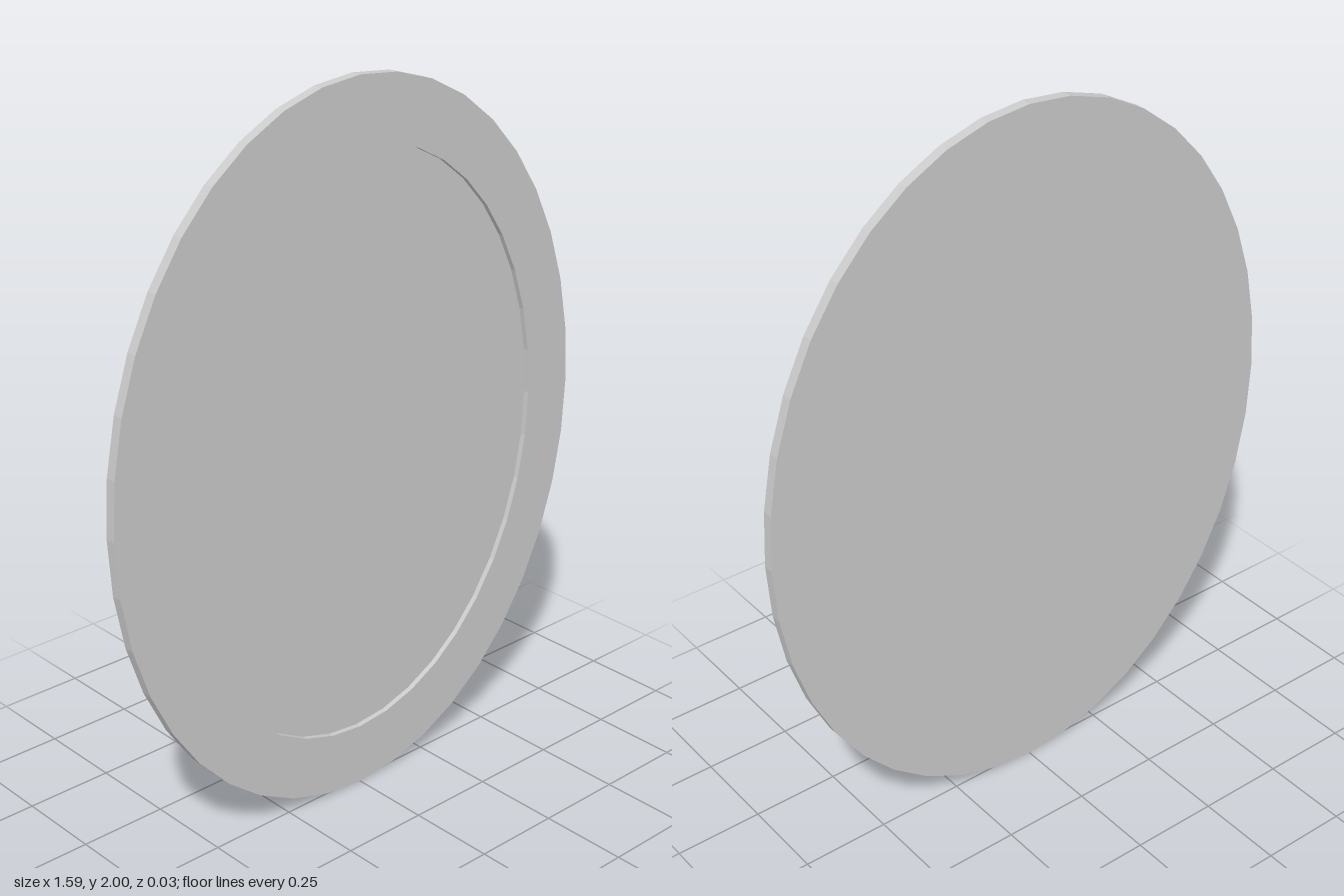
import * as THREE from 'three';

const SIDES = 40;

// Points of a 40-sided ellipse with a corner at the top
function ellipsePoints(rx, ry) {
  return Array.from({ length: SIDES }, (_, i) => {
    const a = (i / SIDES) * Math.PI * 2;
    return new THREE.Vector2(rx * Math.cos(a), ry * Math.sin(a));
  });
}

// Elliptical slab between two depths, optionally with an elliptical opening
function slab(name, outer, z0, z1, material, opening) {
  const shape = new THREE.Shape(ellipsePoints(...outer));
  if (opening) shape.holes.push(new THREE.Path(ellipsePoints(...opening)));
  const geometry = new THREE.ExtrudeGeometry(shape, { depth: z1 - z0, bevelEnabled: false });
  geometry.translate(0, 1, z0);
  const mesh = new THREE.Mesh(geometry, material);
  mesh.name = name;
  return mesh;
}

export function createModel() {
  const group = new THREE.Group();
  group.name = 'ovalMirror';
  const frameMaterial = new THREE.MeshStandardMaterial({ color: 0xcccccc });
  const glassMaterial = new THREE.MeshStandardMaterial({ color: 0xf0f0f0 });

  const outer = [0.795, 1];
  const inner = [0.64, 0.823];

  // Closed back, raised rim, and glass set below the rim
  group.add(slab('backPlate', outer, -0.015, -0.005, frameMaterial));
  group.add(slab('frame', outer, -0.005, 0.015, frameMaterial, inner));
  group.add(slab('mirrorGlass', inner, -0.005, 0, glassMaterial));
  return group;
}
